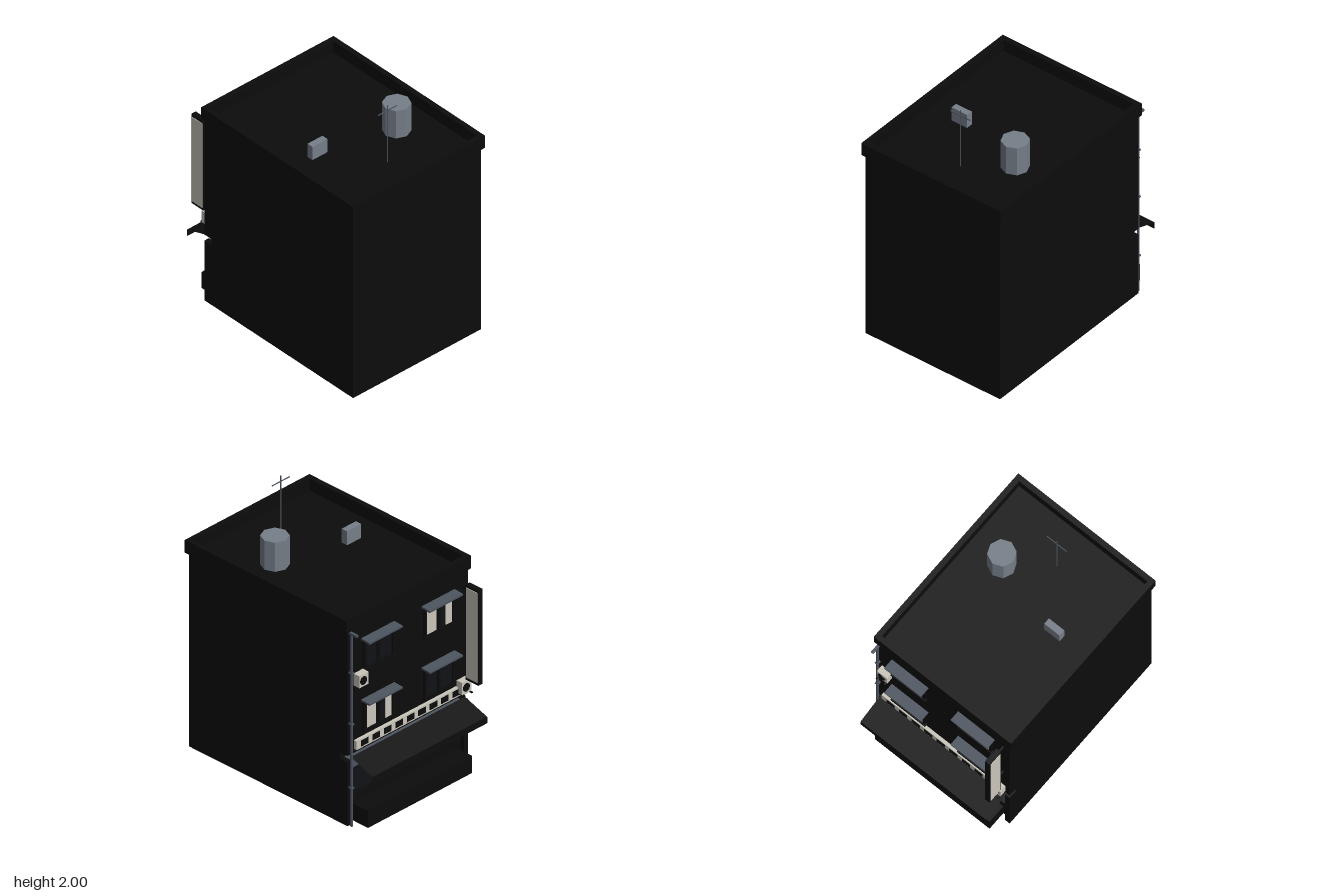
import * as THREE from 'three';

export function createModel() {
  const root = new THREE.Group();
  const mat = (name, color, side = THREE.FrontSide) => {
    const m = new THREE.MeshStandardMaterial({ color, side });
    m.name = name;
    return m;
  };
  const black = mat('wall black', 0x0c0c0c);
  const cloth = mat('awning black', 0x0d0d0e, THREE.DoubleSide);
  const glass = mat('dark glass', 0x101215);
  const slate = mat('slate metal', 0x4c545f);
  const steel = mat('steel grey', 0x767e88);
  const cream = mat('cream', 0xcac6bb);

  const add = (name, geo, m, parent = root) => {
    const mesh = new THREE.Mesh(geo, m);
    mesh.name = name;
    parent.add(mesh);
    return mesh;
  };
  // box given by its minimum and maximum corners
  const box = (name, m, x0, x1, y0, y1, z0, z1, parent = root) => {
    const mesh = add(name, new THREE.BoxGeometry(x1 - x0, y1 - y0, z1 - z0), m, parent);
    mesh.position.set((x0 + x1) / 2, (y0 + y1) / 2, (z0 + z1) / 2);
    return mesh;
  };
  const group = (name, x = 0, y = 0, z = 0) => {
    const g = new THREE.Group();
    g.name = name;
    g.position.set(x, y, z);
    root.add(g);
    return g;
  };

  // building mass, with a recessed ground floor
  box('body', black, -0.58, 0.58, 0, 1.525, -0.58, 0.84);
  box('upperFacade', black, -0.58, 0.58, 0.55, 1.525, -0.65, -0.58);
  for (const s of [-1, 1]) {
    box('shopPillar', black, s * 0.56 - 0.02, s * 0.56 + 0.02, 0, 0.5, -0.65, -0.58);
    box('parapetSide', black, s * 0.58 - 0.02, s * 0.58 + 0.02, 1.52, 1.62, -0.66, 0.86);
  }
  box('parapetFront', black, -0.56, 0.56, 1.52, 1.62, 0.82, 0.86);
  box('parapetBack', black, -0.56, 0.56, 1.52, 1.62, -0.66, -0.62);

  // shopfront
  box('shopGlass', glass, -0.54, 0.54, 0.14, 0.43, -0.588, -0.58);
  box('shopLintel', slate, -0.54, 0.54, 0.43, 0.5, -0.64, -0.58);
  for (const s of [-1, 1])
    box('shopPost', slate, s * 0.5 - 0.01, s * 0.5 + 0.01, 0.14, 0.43, -0.61, -0.588);
  box('shopLowerWall', black, -0.54, 0.54, 0, 0.2, -0.62, -0.58);
  box('doorBell', cream, 0.515, 0.535, 0.27, 0.3, -0.62, -0.588);
  box('step', black, -0.5, 0.5, 0, 0.135, -0.765, -0.62);

  // awning sheet with a hanging front edge
  const sheet = new THREE.PlaneGeometry(1.1, 1);
  const p = sheet.attributes.position;
  for (let i = 0; i < p.count; i++) {
    const atWall = p.getY(i) < 0;
    p.setXYZ(i, p.getX(i), atWall ? 0.53 : 0.46, atWall ? -0.65 : -0.857);
  }
  sheet.computeVertexNormals();
  add('awning', sheet, cloth);
  box('awningValance', cloth, -0.55, 0.55, 0.41, 0.46, -0.86, -0.855);

  // sign strip with a row of dark squares
  box('signBand', cream, -0.52, 0.52, 0.58, 0.65, -0.675, -0.65);
  for (let i = 0; i < 9; i++) {
    const x = -0.44 + i * 0.11;
    box('signSquare', black, x - 0.035, x + 0.035, 0.592, 0.638, -0.678, -0.67);
  }

  // windows: one lit and one dark on each floor
  const addWindow = (x, y, lit) => {
    const g = group('window', x, y, -0.65);
    box('windowGlass', glass, -0.13, 0.13, 0, 0.21, -0.008, 0, g);
    for (const s of [-1, 1])
      box('windowJamb', black, s * 0.135 - 0.01, s * 0.135 + 0.01, 0, 0.21, -0.02, 0, g);
    box('windowMullion', black, -0.008, 0.018, 0, 0.21, -0.018, 0, g);
    box('windowSill', black, -0.15, 0.15, -0.015, 0.005, -0.025, 0, g);
    box('windowHead', black, -0.145, 0.145, 0.2, 0.22, -0.02, 0, g);
    if (lit) {
      box('curtain', cream, 0.03, 0.122, 0.005, 0.2, -0.015, -0.008, g);
      box('curtain', cream, -0.12, -0.062, 0.005, 0.2, -0.015, -0.008, g);
    }
    const hood = box('windowHood', slate, -0.16, 0.16, 0.222, 0.236, -0.08, 0, g);
    hood.rotation.x = -0.06;
  };
  for (const [floor, y] of [0.7, 1.18].entries())
    for (const s of [-1, 1]) addWindow(s * 0.29, y, (floor === 0) === (s > 0));

  // wall air conditioners on brackets
  for (const [x, y] of [[0.485, 1.08], [-0.505, 0.6]]) {
    const g = group('airConditioner', x, y, -0.65);
    box('unitCase', cream, -0.045, 0.045, 0.005, 0.1, -0.062, -0.008, g);
    const fan = add('unitFan', new THREE.CylinderGeometry(0.032, 0.032, 0.006, 12), black, g);
    fan.rotation.x = Math.PI / 2;
    fan.position.set(0.006, 0.052, -0.063);
    for (const s of [-1, 1]) {
      box('unitBracket', black, s * 0.035 - 0.005, s * 0.035 + 0.005, -0.005, 0.005, -0.08, 0, g);
      box('unitBracketLeg', black, s * 0.035 - 0.005, s * 0.035 + 0.005, -0.04, 0.005, -0.01, 0, g);
    }
  }

  // projecting vertical sign
  box('signFrame', black, -0.545, -0.505, 0.705, 1.45, -0.82, -0.7);
  for (const x of [-0.547, -0.503])
    box('signFace', cream, x - 0.002, x + 0.002, 0.725, 1.43, -0.81, -0.708);
  for (const y of [0.93, 1.41])
    box('signBracket', black, -0.532, -0.518, y - 0.006, y + 0.006, -0.71, -0.65);

  // drainpipe with its top outlet and clips
  const pipe = add('drainpipe', new THREE.CylinderGeometry(0.01, 0.01, 1.51, 8), slate);
  pipe.position.set(0.56, 0.755, -0.67);
  box('drainOutlet', slate, 0.55, 0.57, 1.502, 1.518, -0.725, -0.65);
  for (const y of [0.3, 0.8, 1.2])
    box('pipeClip', slate, 0.547, 0.573, y - 0.006, y + 0.006, -0.682, -0.65);

  // rooftop equipment
  const tank = add('waterTank', new THREE.CylinderGeometry(0.1, 0.1, 0.23, 8).toNonIndexed(), steel);
  tank.geometry.computeVertexNormals();
  tank.position.set(0.29, 1.638, 0.315);
  box('roofVent', steel, -0.36, -0.225, 1.52, 1.635, 0.14, 0.19);
  const mast = add('antennaMast', new THREE.CylinderGeometry(0.004, 0.004, 0.48, 6), slate);
  mast.position.set(0, 1.76, 0.543);
  box('antennaBar', slate, -0.085, 0.085, 1.952, 1.958, 0.54, 0.546);

  return root;
}
